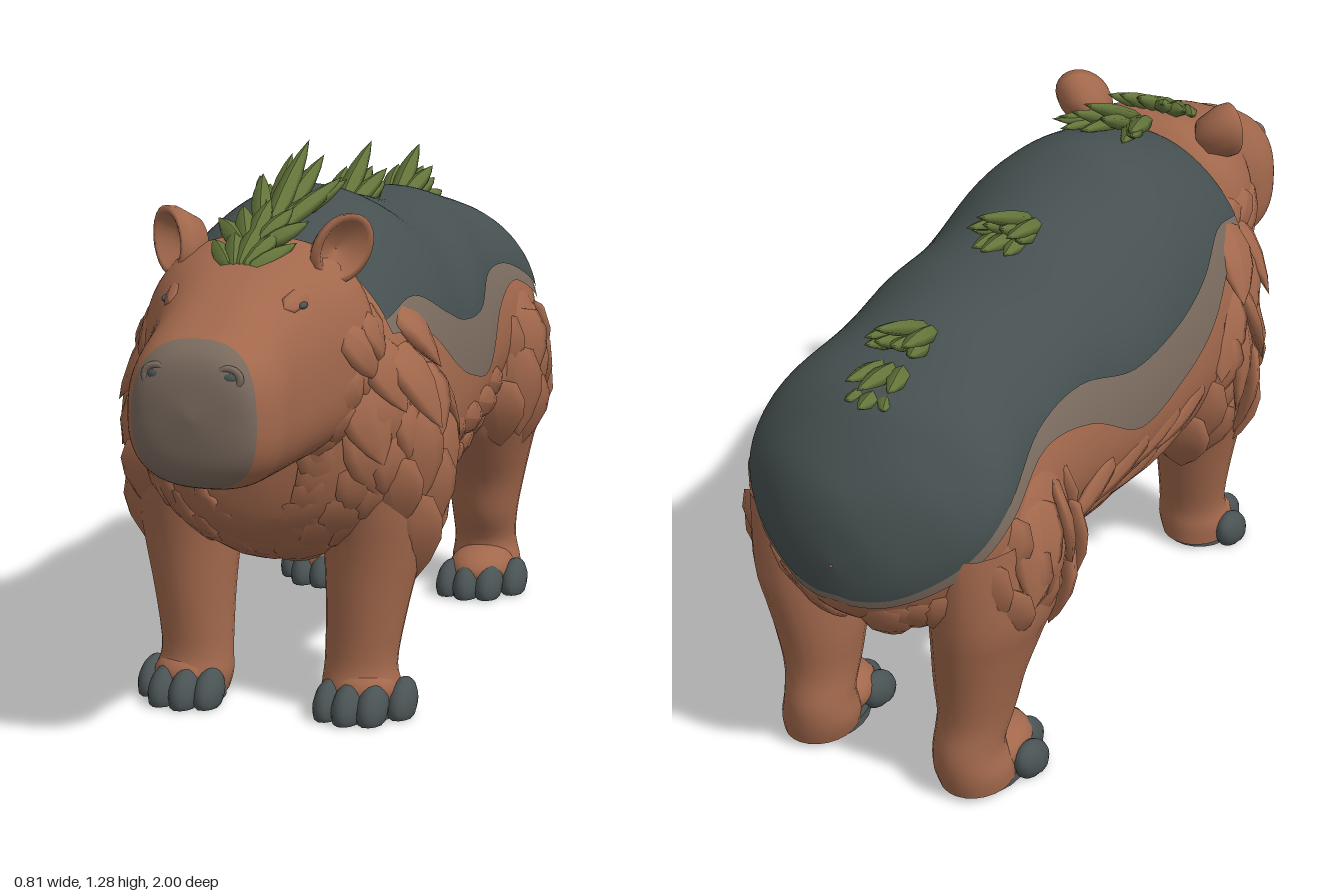
import * as THREE from 'three';
import { mergeGeometries, mergeVertices } from 'three/addons/utils/BufferGeometryUtils.js';

const V = (x, y, z) => new THREE.Vector3(x, y, z);
const mat = (name, color) => Object.assign(new THREE.MeshStandardMaterial({ color }), { name });

// Small seeded jitter in -1..1
let seed = 7;
const jitter = () => {
  seed = (seed * 16807) % 2147483647;
  return (seed / 2147483647) * 2 - 1;
};

// Smooth interpolation through a table of cross-sections
function station(table, s) {
  const n = table.length - 1, i = Math.min(Math.floor(s), n - 1), t = s - i;
  const row = k => table[Math.max(0, Math.min(n, k))];
  return table[0].map((_, c) => {
    const [a, b, d, e] = [row(i - 1)[c], row(i)[c], row(i + 1)[c], row(i + 2)[c]];
    return b + 0.5 * t * (d - a + t * (2 * a - 5 * b + 4 * d - e + t * (3 * (b - d) + e - a)));
  });
}

// Surface from a function of u, v in 0..1
function grid(f, nu, nv) {
  const pos = [], index = [];
  for (let i = 0; i <= nu; i++) for (let j = 0; j <= nv; j++) {
    pos.push(...f(i / nu, j / nv).toArray());
    if (i < nu && j < nv) {
      const a = i * (nv + 1) + j, c = a + nv + 1;
      index.push(a, a + 1, c, a + 1, c + 1, c);
    }
  }
  let g = new THREE.BufferGeometry();
  g.setAttribute('position', new THREE.Float32BufferAttribute(pos, 3));
  g.setIndex(index);
  g = mergeVertices(g, 1e-5);
  g.computeVertexNormals();
  return g;
}

// Ring sections, front to back: z, top, bottom, middle, half width (, shell edge y, band edge y)
const BODY = [
  [.63, .66, .62, .64, .004, .9, .88], [.6, .90, .47, .66, .19, .9, .88],
  [.53, 1.02, .41, .68, .28, .9, .88], [.45, 1.09, .37, .68, .325, .92, .89],
  [.3, 1.145, .34, .68, .35, .95, .87], [.15, 1.165, .33, .68, .355, .89, .77],
  [0, 1.125, .34, .68, .35, .845, .715], [-.2, 1.085, .37, .69, .34, .835, .69],
  [-.4, 1.075, .42, .71, .325, .89, .80], [-.6, 1.05, .45, .72, .325, .88, .84],
  [-.78, 1.005, .45, .72, .325, .80, .765], [-.88, .93, .47, .71, .265, .70, .665],
  [-.95, .85, .52, .69, .165, .62, .59], [-.985, .775, .57, .68, .085, .60, .58],
  [-.999, .678, .672, .675, .003, .6, .58],
];
const HEAD = [
  [1, .80, .80, .80, 0], [.986, .895, .695, .80, .105], [.955, .942, .648, .785, .148],
  [.89, .972, .622, .78, .174], [.8, 1.018, .612, .79, .178], [.7, 1.057, .615, .81, .205],
  [.6, 1.095, .625, .84, .25], [.5, 1.11, .64, .85, .26], [.42, 1.06, .66, .85, .23],
];
const soft = (v, q) => Math.sign(v) * Math.abs(v) ** q;
function skin(table, s, a, q = 1, lift = 0) {
  const [z, top, bottom, mid, w] = station(table, s), c = soft(Math.cos(a), q);
  return V((w + lift) * soft(Math.sin(a), q), mid + (c > 0 ? top - mid + lift : mid - bottom + lift) * c, z);
}
function edgeAngle(s, column) {
  const r = station(BODY, s), d = r[column] - r[3];
  return Math.acos(THREE.MathUtils.clamp(d / (d > 0 ? r[1] - r[3] : r[3] - r[2]), -1, 1));
}

// Leg sections, top to bottom: y, x, z, half width, half depth
const LEGS = {
  front: [[.65, .23, .34, .12, .17], [.5, .225, .35, .13, .15], [.38, .22, .37, .115, .115], [.25, .21, .385, .096, .095],
    [.12, .2, .40, .085, .078], [.06, .205, .41, .093, .09], [.015, .21, .41, .085, .09]],
  back: [[.7, .23, -.68, .12, .22], [.5, .23, -.68, .13, .21], [.4, .22, -.70, .115, .175], [.3, .21, -.725, .1, .13],
    [.2, .205, -.735, .085, .108], [.12, .2, -.765, .08, .093], [.06, .205, -.755, .09, .1], [.015, .21, -.745, .085, .1]],
};

// Pointed clump growing from p along dir, lying flat against normal and curling inwards by bend
const CLUMP = [[0, 0], [.4, .1], [.5, .36], [.44, .58], [.24, .82], [.002, 1]];
function clump(p, normal, dir, length, width, thick, bend = 0, sides = 8) {
  const y = dir.clone().normalize();
  const x = y.clone().cross(normal).normalize();
  const g = new THREE.LatheGeometry(CLUMP.map(([r, h]) => new THREE.Vector2(r, h)), sides);
  const pos = g.attributes.position;
  for (let i = 0; i < pos.count; i++) pos.setZ(i, pos.getZ(i) * thick - bend * pos.getY(i) ** 2);
  g.scale(width, length, 1);
  g.computeVertexNormals();
  return g.applyMatrix4(new THREE.Matrix4().makeBasis(x, y, x.clone().cross(y)).setPosition(p));
}
// Fur lock hugging a surface around a centre
function lock(p, centre, flow, length, width, bend, thick = .042) {
  const n = p.clone().sub(centre).normalize();
  const dir = flow.clone().addScaledVector(n, -flow.dot(n)).normalize();
  dir.x += jitter() * .08;
  return clump(p.clone().addScaledVector(n, -.01), n, dir, length * (1 + .15 * jitter()), width, thick, bend);
}

export function createModel() {
  seed = 7;
  const root = new THREE.Group();
  root.name = 'mossyBeast';
  const fur = mat('russet fur', 0xa2684c), shell = mat('slate back', 0x465050);
  const taupe = mat('grey taupe', 0x7a6a5e), hoof = mat('dark claws', 0x4a5354);
  const leaf = mat('moss green', 0x63743a);
  const add = (name, geometry, material) => {
    const m = new THREE.Mesh(geometry, material);
    m.name = name;
    root.add(m);
    return m;
  };
  const lerp = THREE.MathUtils.lerp, last = BODY.length - 1;
  const along = u => lerp(3, last, u);

  // Furry body, with the border band and raised back lying on it
  add('body', grid((u, v) => skin(BODY, u * last, v * 2 * Math.PI), 84, 64), fur);
  for (const [name, k] of [['leftBorder', 1], ['rightBorder', -1]]) add(name, grid((u, v) => {
    const s = along(u), w = k > 0 ? v : 1 - v;
    return skin(BODY, s, k * lerp(edgeAngle(s, 5) * .98, edgeAngle(s, 6), w), 1, .007 * (1 - u ** 40));
  }, 66, 6), taupe);
  add('back', grid((u, v) => {
    const s = along(u), t = 2 * v - 1, a = t * edgeAngle(s, 5);
    const bumps = .006 * Math.sin(s * 3.1) * Math.cos(a * 4);
    return skin(BODY, s, a, 1, .009 * (1 - u ** 40) + (.011 + bumps) * (1 - t ** 8) * Math.sin(Math.PI * u));
  }, 66, 56), shell);

  // Head with a painted nose end
  const nose = a => 2.1 + .35 * Math.cos(2 * a);
  add('muzzle', grid((u, v) => skin(HEAD, u * nose(v * 2 * Math.PI), v * 2 * Math.PI, .8), 14, 64), taupe);
  add('head', grid((u, v) => {
    const a = v * 2 * Math.PI;
    return skin(HEAD, lerp(nose(a), 8, u), a, .8);
  }, 36, 64), fur);

  const locks = [];
  for (const k of [1, -1]) {
    const side = k > 0 ? 'left' : 'right';

    // Nostril, eye and brow
    const nostril = add(side + 'Nostril', new THREE.SphereGeometry(1, 14, 10), hoof);
    nostril.scale.set(.02, .012, .01);
    nostril.position.set(k * .08, .884, .974);
    const rim = add(side + 'NostrilRim', new THREE.TorusGeometry(.026, .009, 8, 18), taupe);
    rim.scale.y = .85;
    rim.position.set(k * .08, .882, .972);
    const eye = add(side + 'Eye', new THREE.SphereGeometry(1, 14, 10), hoof);
    eye.scale.set(.008, .008, .02);
    eye.position.copy(skin(HEAD, 5, k * .8, .8));
    add(side + 'Brow', clump(skin(HEAD, 4.5, k * .68, .8), V(k * .7, .7, 0), V(k * .22, .22, -1), .17, .05, .022), fur);

    // Cupped ear
    const cup = [[.001, -.075], [.045, -.058], [.065, -.005], [.065, .02], [.052, .02], [.035, -.015], [.001, -.028]];
    const ear = add(side + 'Ear', new THREE.LatheGeometry(cup.map(([r, h]) => new THREE.Vector2(r, h)), 24), fur);
    ear.geometry.rotateX(Math.PI / 2).scale(.95, 1.3, 1);
    ear.rotation.set(-.15, k * .7, -k * .6);
    ear.position.set(k * .192, 1.095, .54);

    // Legs and feet
    for (const [end, table] of Object.entries(LEGS)) {
      add(side + end + 'Leg', grid((u, v) => {
        const [y, x, z, rx, rz] = station(table, u * (table.length - 1)), a = v * 2 * Math.PI;
        return V(k * x + rx * Math.cos(a), y, z + rz * Math.sin(a));
      }, 22, 24), fur);
      const [fz, reach] = end === 'front' ? [.42, 0] : [-.74, .08];
      const pad = add(side + end + 'Pad', new THREE.CylinderGeometry(.082, .084, .02, 20), hoof);
      pad.scale.z = 1 + reach * 4;
      pad.position.set(k * .212, .01, fz + reach * .5);
      const toes = [[.145, .06, .034], [.197, .08, .036], [.252, .068, .036], [.304, 0, .034]].map(([x, dz, r]) => {
        const g = new THREE.SphereGeometry(1, 14, 12).scale(r, .052, .062);
        const p = g.attributes.position;
        for (let i = 0; i < p.count; i++) p.setY(i, Math.max(-.03, p.getY(i) - p.getZ(i) * .25));
        g.computeVertexNormals();
        return g.translate(k * x, .03, fz + reach + dz);
      });
      add(side + end + 'Toes', mergeGeometries(toes), hoof);
      // Instep joining the ankle to the toes
      const instep = add(side + end + 'Instep', new THREE.SphereGeometry(1, 18, 12), fur);
      instep.scale.set(.084, .055, .085 + reach * .4);
      instep.position.set(k * .212, .06, fz + reach * .8);
    }

    // Shoulder and haunch masses, covered in overlapping locks
    for (const [name, c, r] of [['Shoulder', V(k * .23, .61, .31), V(.135, .27, .2)], ['Haunch', V(k * .23, .62, -.66), V(.135, .24, .21)]]) {
      const m = add(side + name, new THREE.SphereGeometry(1, 28, 20), fur);
      m.scale.copy(r);
      m.position.copy(c);
      const rows = name === 'Shoulder' ? [.78, .42, .06, -.3] : [.65, .3, -.05];
      rows.forEach((h, row) => {
        for (let i = 0; i < 4; i++) {
          const a = -1.15 + (i + (row % 2) * .5) * .66, w = Math.sqrt(1 - h * h);
          const p = V(k * w * Math.cos(a), h, -w * Math.sin(a)).multiply(r).add(c);
          // Surface normal drawn from a tall core so locks hang straight
          const core = V(lerp(c.x, p.x, .2), lerp(c.y, p.y, .75), c.z);
          locks.push(lock(p, core, V(0, -1, -.25), .22, .155, .05));
        }
      });
    }

    // Neck ruff and chest bib
    [.9, 1.6, 2.3, 3, 3.5].forEach((s, row) => {
      for (let i = 0; i < 7; i++) {
        const a = .92 + (i + (row % 2) * .5) * .33;
        locks.push(lock(skin(BODY, s, k * a), V(0, .68, .36), V(0, -1, -.35), .2, .15, .045));
      }
    });
    // Cheeks
    [5.7, 6.4, 7.1].forEach(s => {
      for (let i = 0; i < 4; i++)
        locks.push(lock(skin(HEAD, s, k * (1.25 + i * .33), .8), V(0, .84, .55), V(0, -.8, -.7), .16, .11, .03));
    });
    // Long swept locks on the flanks and belly
    for (let s = 5; s < 8.2; s += .8) for (let i = 0; i < 5; i++) {
      const p = skin(BODY, s + .35 * (i % 2), k * (1.75 + i * .28));
      locks.push(lock(p, V(0, .7, p.z), V(0, -.25, -1), .27, .085, .008, .034));
    }
    // Rump
    for (let i = 0; i < 4; i++)
      locks.push(lock(skin(BODY, 11 + .4 * i, k * (2 + i * .12)), V(0, .7, -.7), V(0, -1, -.1), .18, .12, .04));
  }
  add('furLocks', mergeGeometries(locks), fur);

  // Leaf sprigs along the spine: y, z, length, spread, pitch, leaf count
  const sprigs = [
    [1.06, .67, .18, .6, .5, 5], [1.10, .58, .16, .8, .55, 5],
    [1.12, .46, .34, .3, .5, 3], [1.13, .40, .28, .42, .5, 4], [1.14, .42, .29, .28, .28, 3],
    [1.09, -.08, .3, .14, .45, 3], [1.085, -.13, .19, .28, .5, 4], [1.09, -.16, .18, .15, .2, 3],
    [1.05, -.57, .25, .14, .45, 3], [1.04, -.62, .17, .28, .45, 4], [1.02, -.7, .17, .25, .15, 3], [.99, -.77, .1, .35, .1, 3],
  ];
  const leaves = sprigs.flatMap(([y, z, length, spread, pitch, n]) => Array.from({ length: n }, (_, i) => {
    const t = (2 * i) / (n - 1) - 1, yaw = t * spread, up = pitch * (1 - .35 * t * t);
    const dir = V(Math.sin(yaw) * Math.cos(up), Math.sin(up), -Math.cos(yaw) * Math.cos(up));
    return clump(V(t * .02, y, z), V(0, 1, .4), dir, length * (1 - .2 * Math.abs(t)), .052, .038, 0, 6);
  }));
  add('leafSprigs', mergeGeometries(leaves), leaf);
  return root;
}
